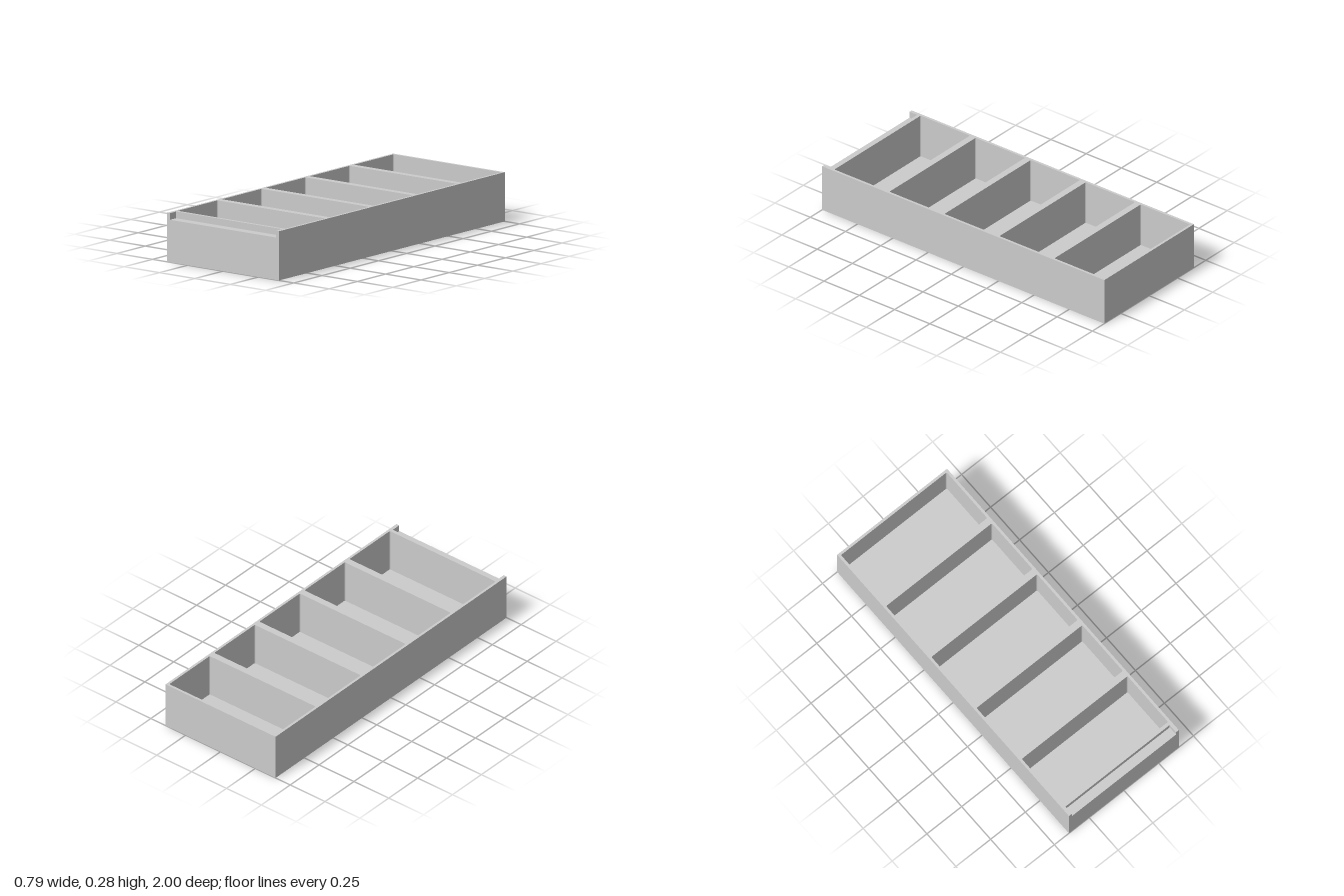
import * as THREE from 'three';

const W = 0.395, L = 1, H = 0.278;               // half width, half length, height
const FLOOR = 0.02, LEDGE = 0.24;                // tray floor and front ledge heights
const NOTCH_X = 0.375, NOTCH_Z = 0.945;          // front notch half width and rear edge
const POCKET_W = 0.38, POCKET_L = 0.35, PITCH = 0.39, FIRST_Z = -0.81, R = 0.007;

// Plan points use Vector2(x, -z); loops run counter-clockwise seen from above.
const pt = (x, z) => new THREE.Vector2(x, -z);
const rect = (x, z0, z1) => [pt(-x, z1), pt(x, z1), pt(x, z0), pt(-x, z0)];

// Rounded rectangle outline of one compartment
function pocketLoop(zc) {
  const loop = [], cx = POCKET_W - R, cy = POCKET_L / 2 - R;
  [[cx, cy], [-cx, cy], [-cx, -cy], [cx, -cy]].forEach(([x, y], corner) => {
    for (let i = 0; i <= 4; i++) {
      const a = (corner + i / 4) * Math.PI / 2;
      loop.push(new THREE.Vector2(x + R * Math.cos(a), -zc + y + R * Math.sin(a)));
    }
  });
  return loop;
}

// Flat horizontal face at height y
function cap(loop, y, holes = [], down = false) {
  const shape = new THREE.Shape(loop);
  shape.holes = holes.map((h) => new THREE.Path(h));
  const g = new THREE.ShapeGeometry(shape);
  if (down) g.index.array.reverse();
  if (down) g.computeVertexNormals();
  return g.rotateX(-Math.PI / 2).translate(0, y, 0);
}

// Upright quads over segments [a, b, bottom, top], facing right of travel
function walls(segments) {
  const pos = [], index = [];
  segments.forEach(([a, b, y0, y1], i) => {
    pos.push(a.x, y0, -a.y, b.x, y0, -b.y, b.x, y1, -b.y, a.x, y1, -a.y);
    index.push(...[0, 1, 2, 0, 2, 3].map((k) => k + i * 4));
  });
  const g = new THREE.BufferGeometry();
  g.setAttribute('position', new THREE.Float32BufferAttribute(pos, 3));
  g.setIndex(index);
  g.computeVertexNormals();
  return g;
}

export function createModel() {
  const group = new THREE.Group();
  const material = new THREE.MeshStandardMaterial({ color: 0xcccccc });
  const add = (name, geometry, parent = group) => {
    const mesh = new THREE.Mesh(geometry, material);
    mesh.name = name;
    parent.add(mesh);
  };

  const outer = rect(W, -L, L);
  const rimLoop = [
    pt(-W, L), pt(-NOTCH_X, L), pt(-NOTCH_X, NOTCH_Z), pt(NOTCH_X, NOTCH_Z),
    pt(NOTCH_X, L), pt(W, L), pt(W, -L), pt(-W, -L),
  ];
  const pockets = Array.from({ length: 5 }, (_, i) => pocketLoop(FIRST_Z + i * PITCH));

  // Outside of the tray; the three notch walls start at the ledge
  const sides = rimLoop.map((a, i) =>
    [a, rimLoop[(i + 1) % rimLoop.length], i >= 1 && i <= 3 ? LEDGE : 0, H]);
  sides.push([rimLoop[1], rimLoop[4], 0, LEDGE]);
  add('outerWalls', walls(sides));
  add('base', cap(outer, 0, [], true));
  add('rimAndDividers', cap(rimLoop, H, pockets));
  add('frontLedge', cap(rect(NOTCH_X, NOTCH_Z, L), LEDGE));

  // Five open compartments
  pockets.forEach((loop, i) => {
    const pocket = new THREE.Group();
    pocket.name = `compartment${i + 1}`;
    group.add(pocket);
    add('compartmentWalls', walls(loop.map((a, k) => [loop[(k + 1) % loop.length], a, FLOOR, H])), pocket);
    add('compartmentFloor', cap(loop, FLOOR), pocket);
  });
  return group;
}
